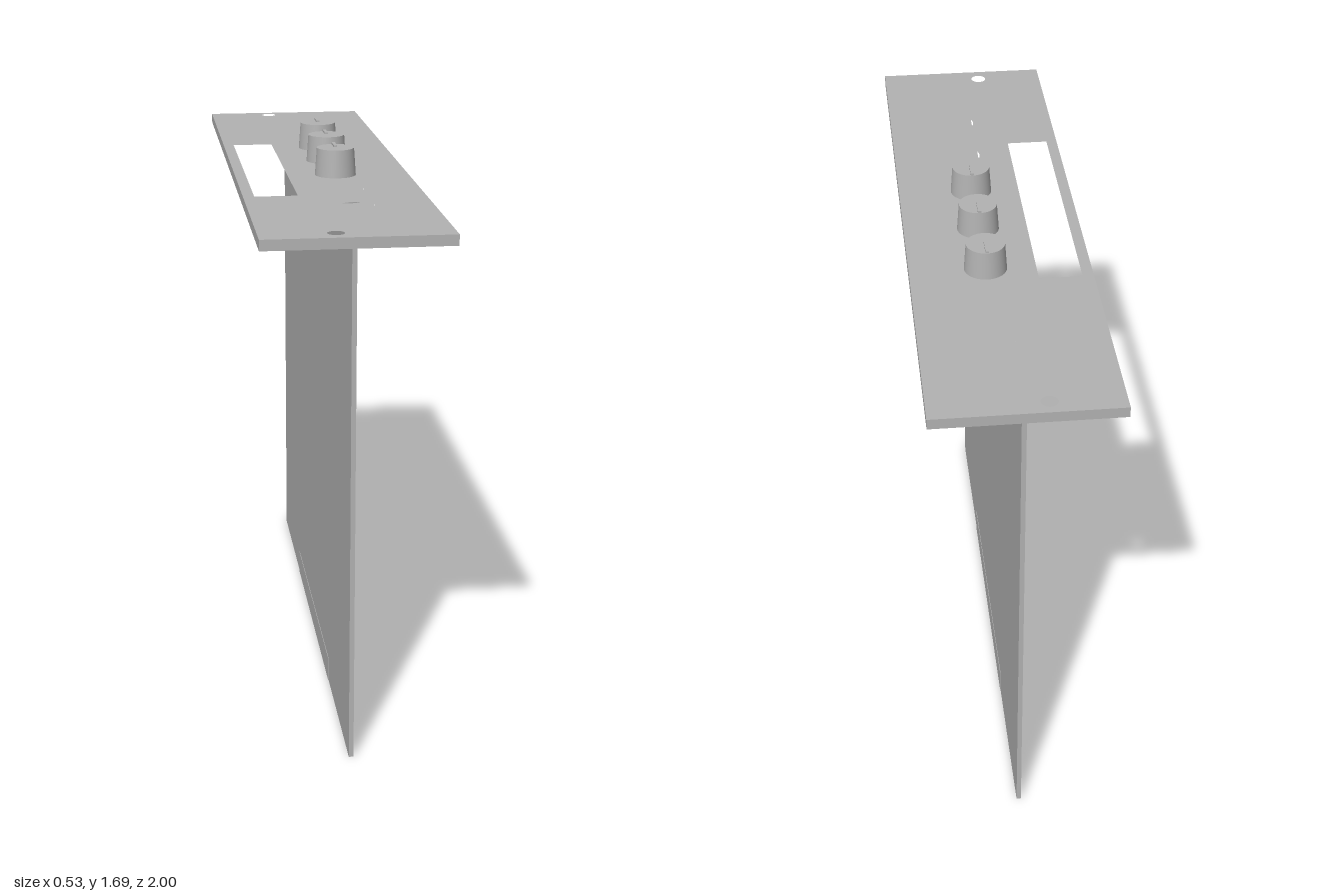
import * as THREE from 'three';
import { toCreasedNormals } from 'three/addons/utils/BufferGeometryUtils.js';

export function createModel() {
  const model = new THREE.Group();
  model.name = 'panelModule';
  const grey = new THREE.MeshStandardMaterial({ color: 0xb2b2b2 });
  grey.name = 'plain grey';

  const add = (name, geometry, parent = model) => {
    const mesh = new THREE.Mesh(geometry, grey);
    mesh.name = name;
    parent.add(mesh);
    return mesh;
  };
  // Box given by its extents on each axis
  const box = (name, [x0, x1], [y0, y1], [z0, z1], parent) => {
    const mesh = add(name, new THREE.BoxGeometry(x1 - x0, y1 - y0, z1 - z0), parent);
    mesh.position.set((x0 + x1) / 2, (y0 + y1) / 2, (z0 + z1) / 2);
    return mesh;
  };
  // Rectangle outline on the floor plane (shape y is -z)
  const rectangle = (path, x0, x1, z0, z1) => {
    path.moveTo(x0, -z0);
    path.lineTo(x1, -z0);
    path.lineTo(x1, -z1);
    path.lineTo(x0, -z1);
    path.closePath();
    return path;
  };

  // Face plate with a long slot, three jack holes and two screw holes
  const plate = rectangle(new THREE.Shape(), -0.266, 0.266, -1, 1);
  plate.holes.push(rectangle(new THREE.Path(), -0.233, -0.106, -0.358, 0.466));
  const roundHoles = [
    [-0.06, -0.952, 0.024], [-0.056, 0.946, 0.024],
    [0.05, -0.665, 0.052], [0.045, 0.397, 0.052], [0.045, 0.622, 0.052],
  ];
  for (const [x, z, r] of roundHoles) {
    plate.holes.push(new THREE.Path().absarc(x, -z, r, 0, Math.PI * 2, true));
  }
  const plateGeometry = new THREE.ExtrudeGeometry(plate, {
    depth: 0.031, bevelEnabled: false, curveSegments: 32,
  });
  plateGeometry.rotateX(-Math.PI / 2);
  add('facePlate', toCreasedNormals(plateGeometry, 0.6)).position.y = 1.569;

  // Upright circuit board, the strip under the plate, and the edge connector
  box('circuitBoard', [-0.007, 0.007], [0, 1.569], [-0.907, 0.907]);
  box('mountingStrip', [0.007, 0.117], [1.555, 1.569], [-0.907, 0.907]);
  box('edgeConnector', [-0.0085, 0.0085], [0, 0.078], [-0.425, 0.425]);

  // Tapered knobs, each with a raised pointer from centre to rim
  for (const z of [-0.286, -0.058, 0.17]) {
    const knob = new THREE.Group();
    knob.name = 'knob';
    knob.position.set(0.042, 1.6, z);
    add('knobBody', new THREE.CylinderGeometry(0.057, 0.063, 0.084, 40), knob).position.y = 0.042;
    box('knobPointer', [-0.005, 0.005], [0.08, 0.09], [-0.055, 0], knob);
    model.add(knob);
  }
  return model;
}
